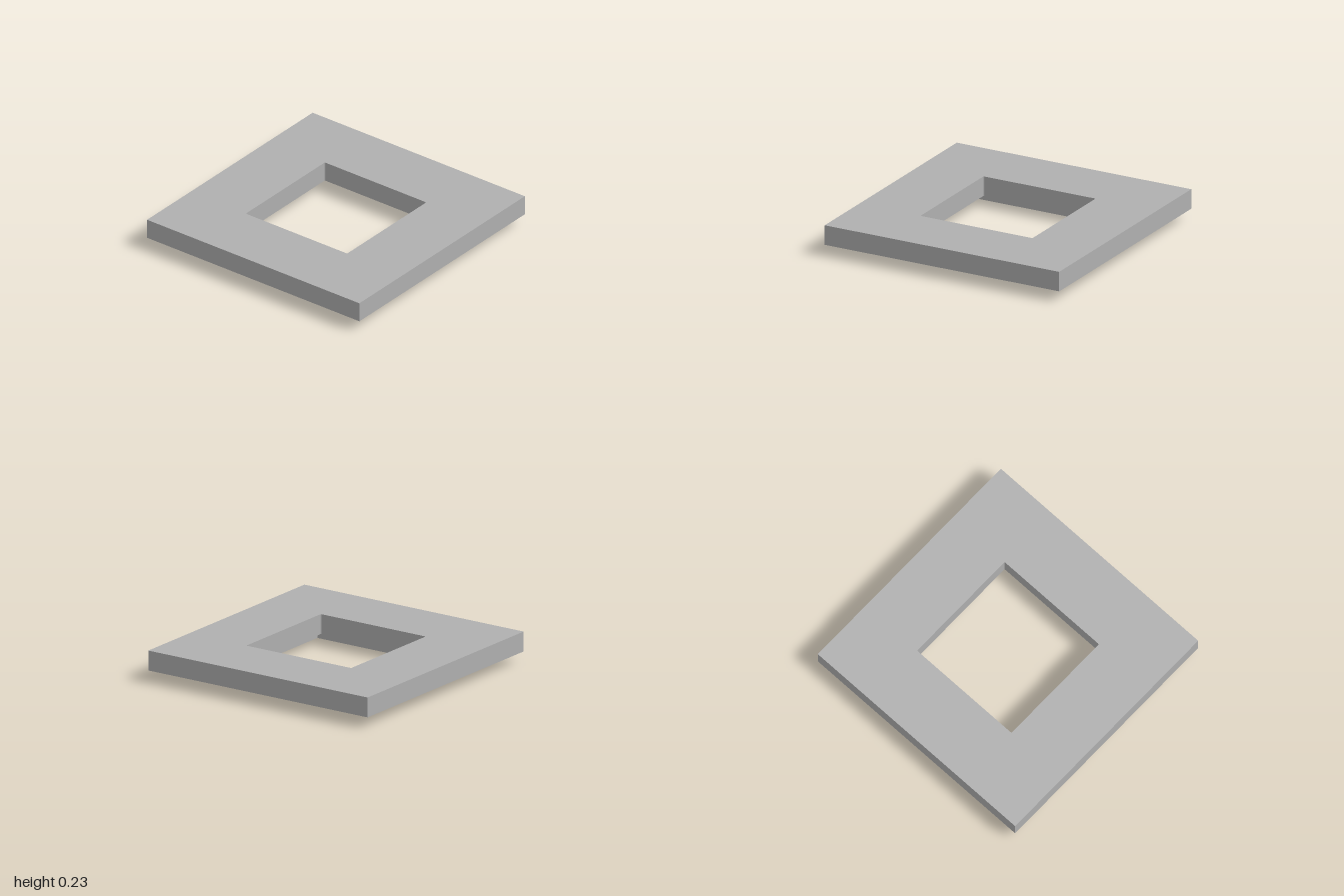
import * as THREE from 'three';

// Square outline of half-width h, with optional small corner rounding
function square(target, h, r = 0) {
  if (r === 0) {
    target.setFromPoints([[-h, -h], [h, -h], [h, h], [-h, h], [-h, -h]].map(([x, y]) => new THREE.Vector2(x, y)));
    return target;
  }
  const k = h - r;
  target.moveTo(-k, -h);
  target.absarc(k, -k, r, -Math.PI / 2, 0);
  target.absarc(k, k, r, 0, Math.PI / 2);
  target.absarc(-k, k, r, Math.PI / 2, Math.PI);
  target.absarc(-k, -k, r, Math.PI, Math.PI * 1.5);
  return target;
}

// Flat square frame lying between heights y0 and y1
function frame(name, material, outer, inner, y0, y1, innerRadius = 0) {
  const shape = square(new THREE.Shape(), outer);
  shape.holes.push(square(new THREE.Path(), inner, innerRadius));
  const geometry = new THREE.ExtrudeGeometry(shape, { depth: y1 - y0, bevelEnabled: false, curveSegments: 4 });
  geometry.rotateX(-Math.PI / 2).translate(0, y0, 0);
  const mesh = new THREE.Mesh(geometry, material);
  mesh.name = name;
  return mesh;
}

export function createModel() {
  const grey = new THREE.MeshStandardMaterial({ color: 0xb0b0b0 });
  grey.name = 'light grey';

  const model = new THREE.Group();
  model.name = 'flangedPlate';
  // Wide plate with the square opening
  model.add(frame('plate', grey, 1, 0.478, 0.08, 0.235, 0.01));
  // Thin locating rim underneath, set back from the opening
  model.add(frame('lowerRim', grey, 0.655, 0.59, 0, 0.08));
  return model;
}
